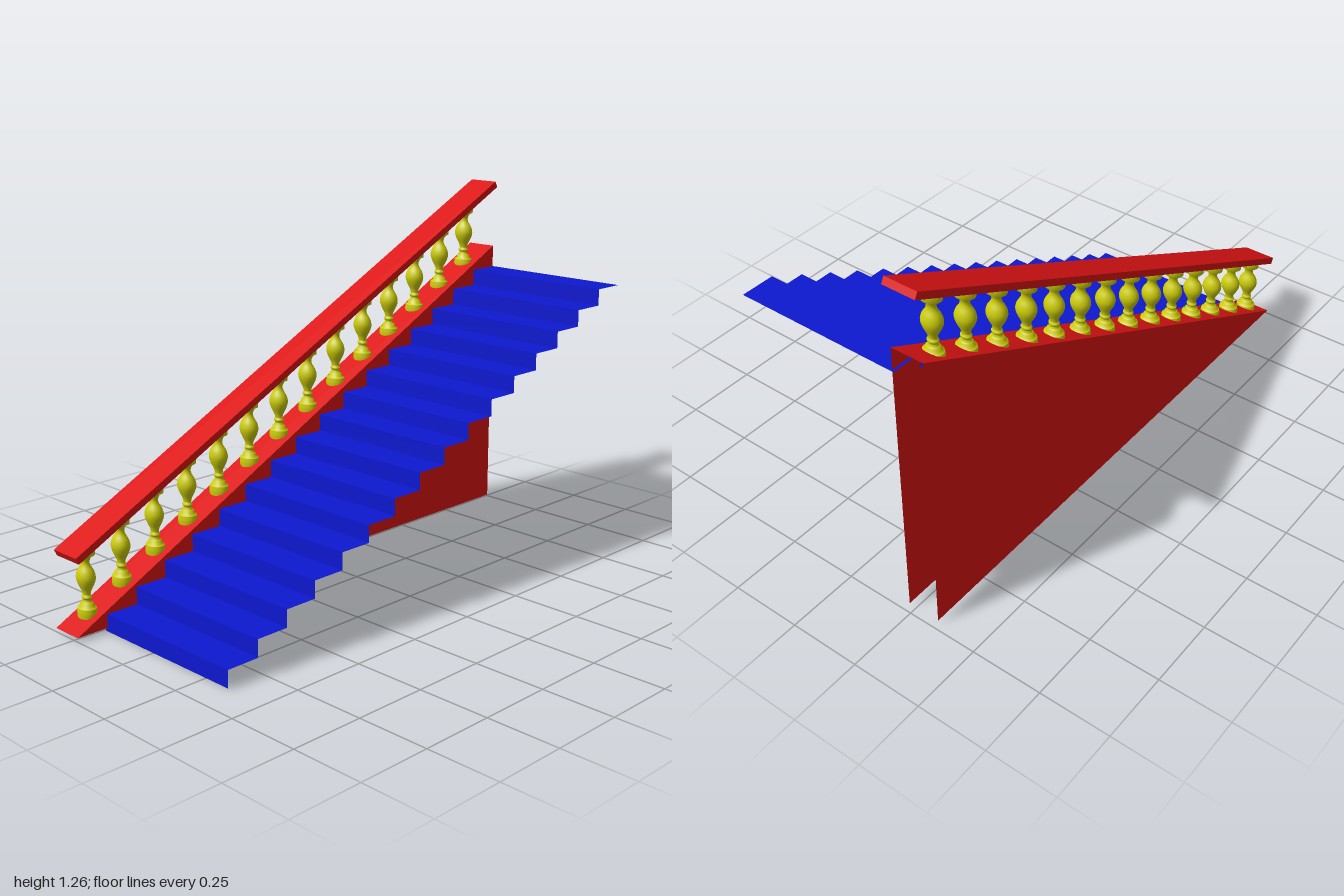
import * as THREE from 'three';

const material = (color) => new THREE.MeshStandardMaterial({ color, side: THREE.DoubleSide });

// Open sheet: a [z, y] path swept sideways from x0 to x1, with hard folds
function sheet(path, x0, x1) {
  const pos = [];
  for (let i = 0; i < path.length - 1; i++) {
    const [za, ya] = path[i], [zb, yb] = path[i + 1];
    pos.push(x0, ya, za, x1, ya, za, x1, yb, zb);
    pos.push(x0, ya, za, x1, yb, zb, x0, yb, zb);
  }
  const geo = new THREE.BufferGeometry();
  geo.setAttribute('position', new THREE.Float32BufferAttribute(pos, 3));
  geo.computeVertexNormals();
  return geo;
}

export function createModel() {
  const model = new THREE.Group();
  const red = material(0xdd1414), blue = material(0x0d18d0), yellow = material(0xcccc08);
  const add = (parent, name, geo, mat) => {
    const mesh = new THREE.Mesh(geo, mat);
    mesh.name = name;
    parent.add(mesh);
    return mesh;
  };

  // Stairs: a folded sheet of risers and treads
  const steps = 16, rise = 0.94 / steps, run = 1.87 / steps;
  const path = [[0.885, 0]];
  for (let i = 0; i < steps; i++) {
    path.push([0.885 - i * run, (i + 1) * rise], [0.885 - (i + 1) * run, (i + 1) * rise]);
  }
  add(model, 'stairs', sheet(path, -0.24, 0.35), blue);

  // Side wall: two triangular panels and a sloping top, open below and behind
  const wall = new THREE.Group();
  wall.name = 'sideWall';
  model.add(wall);
  const front = [1, 0.013], top = [-0.98, 1.02];
  const triangle = new THREE.Shape([
    new THREE.Vector2(...front), new THREE.Vector2(top[0], front[1]), new THREE.Vector2(...top),
  ]);
  for (const [name, x] of [['outerPanel', -0.345], ['innerPanel', -0.23]]) {
    const panel = add(wall, name, new THREE.ShapeGeometry(triangle), red);
    panel.rotation.y = -Math.PI / 2;
    panel.position.x = x;
  }
  add(wall, 'slopingTop', sheet([front, top], -0.345, -0.23), red);

  // Handrail
  const rail = add(model, 'handrail', new THREE.BoxGeometry(0.117, 0.024, 2.215), red);
  rail.position.set(-0.2915, 0.757, -0.005);
  rail.rotation.x = Math.atan(0.5015);

  // Balusters: one turned profile, slightly flattened front to back
  const curve = (pts) => new THREE.SplineCurve(pts.map((p) => new THREE.Vector2(...p))).getPoints(20);
  const profile = [
    new THREE.Vector2(0, 0), new THREE.Vector2(0.033, 0),
    ...curve([[0.036, 0.004], [0.037, 0.02], [0.035, 0.036]]),
    new THREE.Vector2(0.026, 0.041), new THREE.Vector2(0.025, 0.05),
    ...curve([[0.018, 0.054], [0.015, 0.062], [0.019, 0.069]]),
    new THREE.Vector2(0.019, 0.074),
    ...curve([[0.014, 0.077], [0.018, 0.093], [0.03, 0.115], [0.036, 0.136],
      [0.031, 0.157], [0.019, 0.176], [0.016, 0.19], [0.021, 0.203]]),
    new THREE.Vector2(0.025, 0.208), new THREE.Vector2(0.036, 0.213),
    new THREE.Vector2(0.037, 0.236), new THREE.Vector2(0.034, 0.24), new THREE.Vector2(0, 0.24),
  ];
  const turned = new THREE.LatheGeometry(profile, 24);
  const balusters = new THREE.Group();
  balusters.name = 'balusters';
  model.add(balusters);
  const count = 14;
  for (let i = 0; i < count; i++) {
    const t = i / (count - 1);
    const baluster = add(balusters, 'baluster', turned, yellow);
    baluster.position.set(-0.291, 0.04 + 0.9 * t, 0.917 - 1.793 * t);
    baluster.scale.z = 0.8;
  }

  return model;
}
